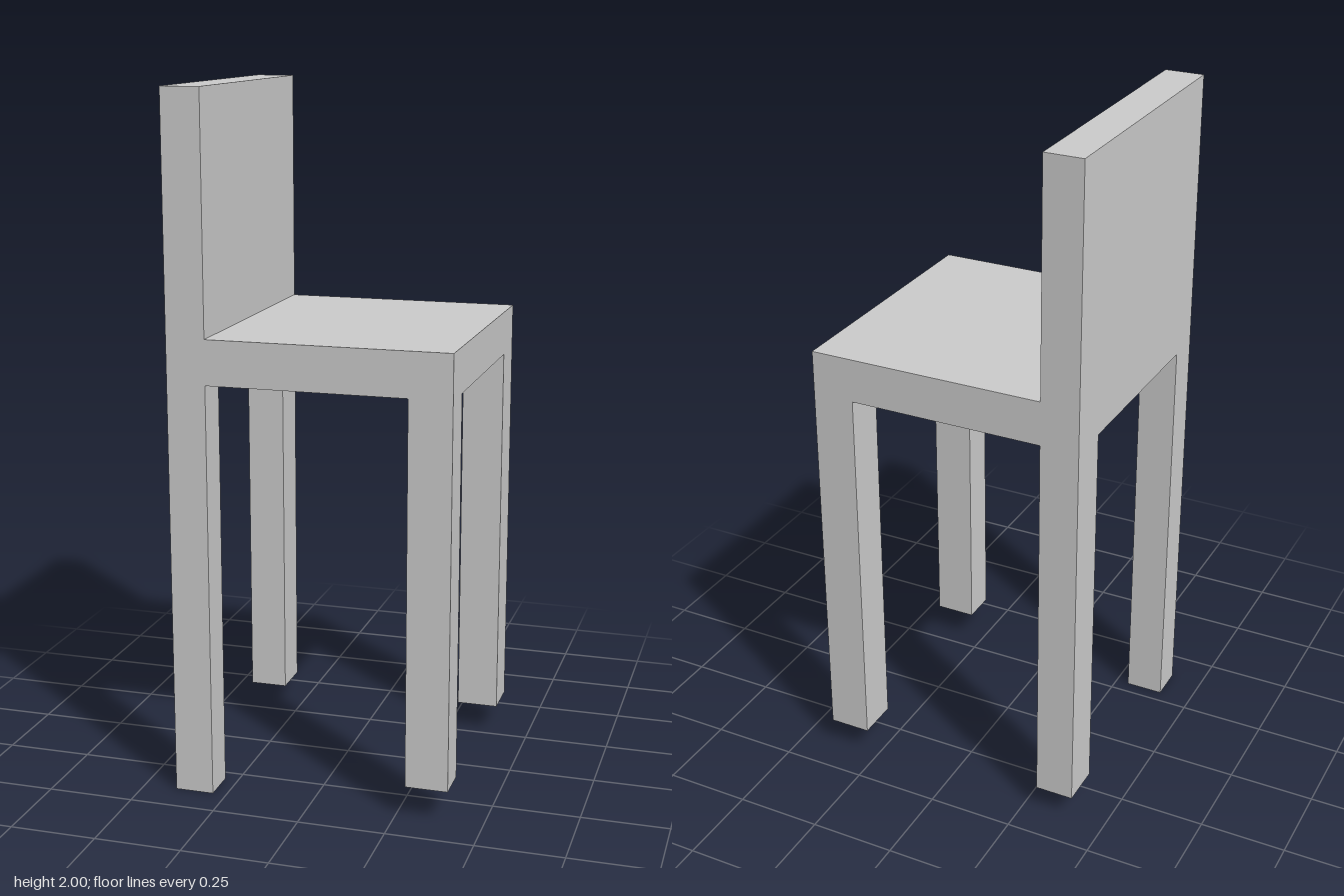
import * as THREE from 'three';

export function createModel() {
  const chair = new THREE.Group();
  chair.name = 'chair';
  const material = new THREE.MeshStandardMaterial({ color: 0xcccccc, flatShading: true });

  // Box given by its extents along each axis
  function block(name, [x0, x1], [y0, y1], [z0, z1]) {
    const mesh = new THREE.Mesh(new THREE.BoxGeometry(x1 - x0, y1 - y0, z1 - z0), material);
    mesh.position.set((x0 + x1) / 2, (y0 + y1) / 2, (z0 + z1) / 2);
    mesh.name = name;
    chair.add(mesh);
  }

  const seatBottom = 1.2, seatTop = 1.328;
  const rearX = [-0.402, -0.29], frontX = [0.28, 0.402];
  const leftZ = [-0.395, -0.27], rightZ = [0.29, 0.395];
  const depth = [leftZ[0], rightZ[1]];

  // Seat slab and the backrest rising from its -x edge
  block('seat', [rearX[0], frontX[1]], [seatBottom, seatTop], depth);
  block('backrest', rearX, [seatTop, 2], depth);

  // Four legs of slightly uneven length
  const legs = [
    ['backRightLeg', rearX, rightZ, 0],
    ['backLeftLeg', rearX, leftZ, 0.073],
    ['frontRightLeg', frontX, rightZ, 0.095],
    ['frontLeftLeg', frontX, leftZ, 0.083],
  ];
  for (const [name, x, z, foot] of legs) block(name, x, [foot, seatBottom], z);

  return chair;
}
